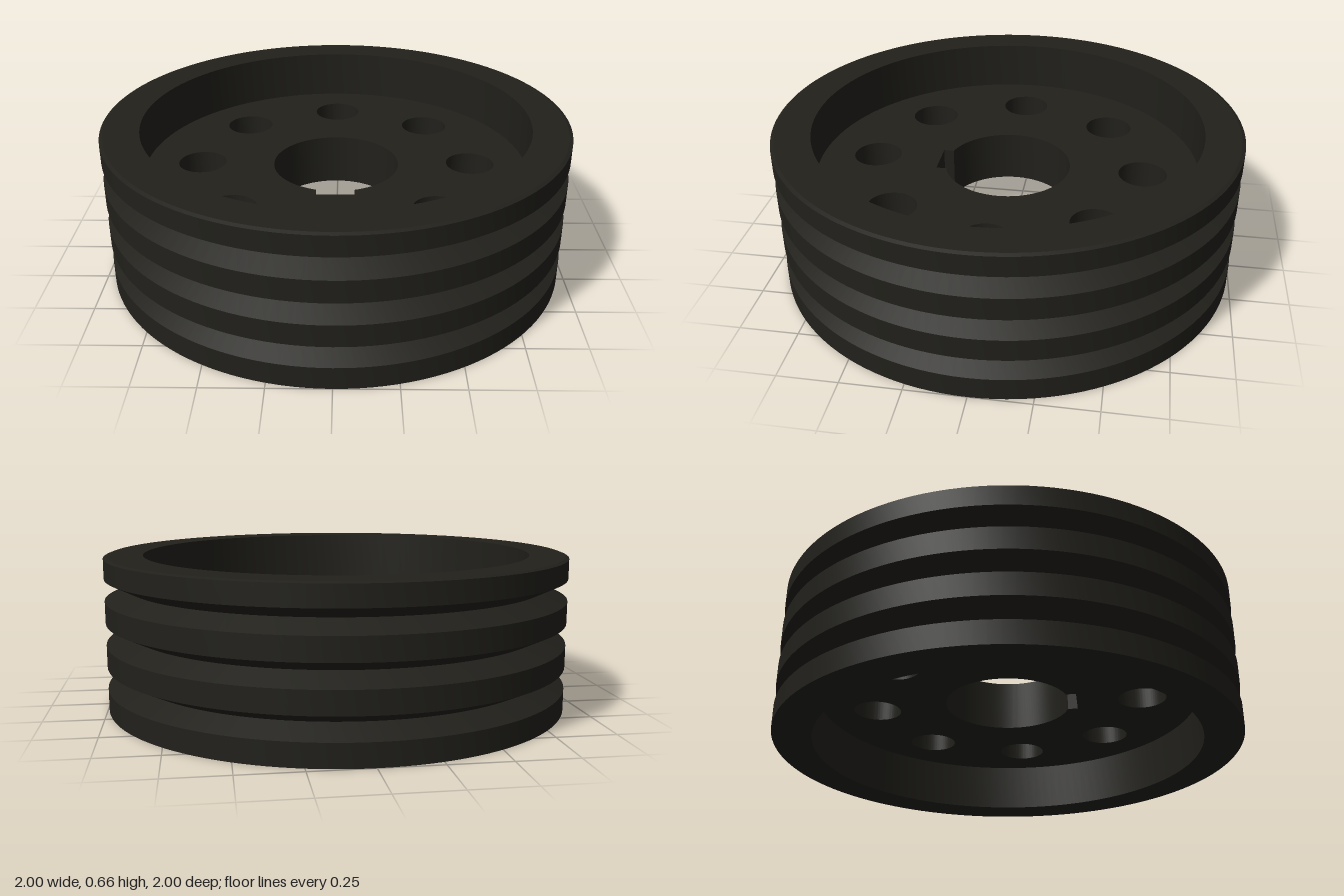
import * as THREE from 'three';
import { toCreasedNormals } from 'three/addons/utils/BufferGeometryUtils.js';

const HEIGHT = 0.656, RIM_INNER = 0.835;
const WEB_BOTTOM = 0.215, WEB_TOP = 0.441;

export function createModel() {
  const model = new THREE.Group();
  model.name = 'pulley';
  const material = new THREE.MeshStandardMaterial({ color: 0x21201b });

  const add = (name, geometry) => {
    const mesh = new THREE.Mesh(toCreasedNormals(geometry, 0.3), material);
    mesh.name = name;
    model.add(mesh);
  };

  // Rim: one turned profile with three V grooves, open where the web joins
  const profile = [[RIM_INNER, WEB_BOTTOM], [RIM_INNER, 0], [1, 0]];
  for (let i = 0; i < 3; i++) {
    const y = 0.142 + i * 0.188;
    profile.push([1, y - 0.047], [0.903, y], [1, y + 0.047]);
  }
  profile.push([1, HEIGHT - 0.006], [0.985, HEIGHT], [RIM_INNER, HEIGHT], [RIM_INNER, WEB_TOP]);
  add('groovedRim', new THREE.LatheGeometry(profile.map(([r, y]) => new THREE.Vector2(r, y)), 128));

  // Web: recessed disc
  const web = new THREE.Shape();
  web.absarc(0, 0, RIM_INNER, 0, Math.PI * 2);

  // Ring of eight round holes
  for (let i = 0; i < 8; i++) {
    const a = (i * Math.PI) / 4;
    const hole = new THREE.Path();
    hole.absarc(0.59 * Math.cos(a), 0.59 * Math.sin(a), 0.104, 0, Math.PI * 2, true);
    web.holes.push(hole);
  }

  // Centre bore with a keyway towards the front
  const boreRadius = 0.273, keyHalf = 0.08, keyDepth = 0.305;
  const a = Math.asin(keyHalf / boreRadius);
  const bore = new THREE.Path();
  bore.moveTo(-keyHalf, -keyDepth);
  bore.lineTo(keyHalf, -keyDepth);
  bore.absarc(0, 0, boreRadius, -Math.PI / 2 + a, Math.PI * 1.5 - a, false);
  bore.closePath();
  web.holes.push(bore);

  const disc = new THREE.ExtrudeGeometry(web, {
    depth: WEB_TOP - WEB_BOTTOM, bevelEnabled: false, curveSegments: 64,
  });
  disc.rotateX(-Math.PI / 2).translate(0, WEB_BOTTOM, 0);
  add('webWithHolesAndKeyway', disc);

  return model;
}
